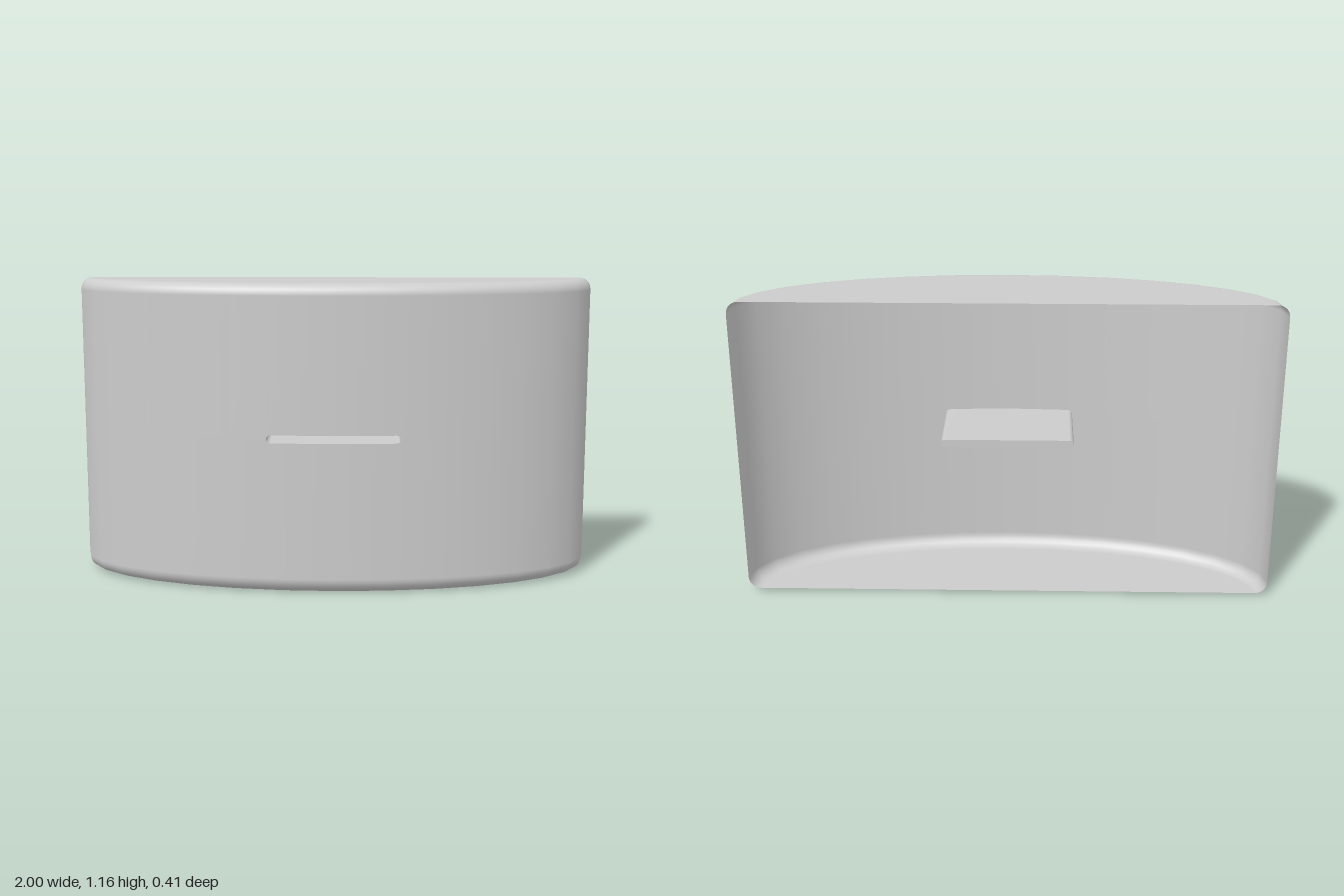
import * as THREE from 'three';
import { mergeGeometries } from 'three/addons/utils/BufferGeometryUtils.js';

const DEPTH = 0.41, BACK = -0.205, HEIGHT = 1.165, FILLET = 0.045;
const SLOT_Y = 0.59, SLOT_HALF = 0.25, SLOT_R = 0.015, SLOT_BACK = -0.12;
const SEGMENTS = 16, FILLET_STEPS = 6;

// Half-ellipse plan, faceted into equal angles
const plan = Array.from({ length: SEGMENTS + 1 }, (_, i) => {
  const t = Math.PI * (1 - i / SEGMENTS);
  return [Math.cos(t), BACK + DEPTH * Math.sin(t)];
});

function wallZ(x) {
  for (let i = 0; i < SEGMENTS; i++) {
    const [x0, z0] = plan[i], [x1, z1] = plan[i + 1];
    if (x <= x1) return z0 + (z1 - z0) * Math.max(0, (x - x0) / (x1 - x0));
  }
  return BACK;
}

// Half height of the round-ended slot at x
function slotHalfHeight(x) {
  const over = Math.max(0, Math.abs(x) - (SLOT_HALF - SLOT_R));
  return over >= SLOT_R - 1e-6 ? 0 : Math.sqrt(SLOT_R ** 2 - over ** 2);
}

// Surface from rows of points; normals are given or computed
function grid(rows, normals) {
  const n = rows[0].length, index = [];
  for (let r = 0; r < rows.length - 1; r++)
    for (let c = 0; c < n - 1; c++) {
      const a = r * n + c, d = a + n;
      index.push(a, a + 1, d + 1, a, d + 1, d);
    }
  const g = new THREE.BufferGeometry();
  g.setAttribute('position', new THREE.Float32BufferAttribute(rows.flat(2), 3));
  g.setIndex(index);
  if (normals) g.setAttribute('normal', new THREE.Float32BufferAttribute(normals.flat(2), 3));
  else g.computeVertexNormals();
  return g;
}

export function createModel() {
  const group = new THREE.Group();
  const material = new THREE.MeshStandardMaterial({ color: 0xcccccc, side: THREE.DoubleSide });
  const add = (name, parts) => {
    const mesh = new THREE.Mesh(mergeGeometries(parts), material);
    mesh.name = name;
    group.add(mesh);
  };

  // Columns: plan corners plus extra ones around the slot ends
  const slotXs = [0, 0.3, 0.7, 0.9, 1].map(k => SLOT_HALF - SLOT_R + SLOT_R * k);
  const xs = [...plan.map(p => p[0]), ...slotXs, ...slotXs.map(x => -x)].sort((a, b) => a - b);
  const columns = xs.map(x => {
    const n = new THREE.Vector2(x, Math.sqrt(Math.max(0, 1 - x * x)) / DEPTH).normalize();
    return { x, z: wallZ(x), nx: n.x, nz: n.y, h: slotHalfHeight(x) };
  });

  // The floor dips slightly towards the front
  const floorY = z => 0.01 * Math.max(0, 1 - (z - BACK) / (DEPTH - FILLET));

  // One half of the shell, listed from the slot line out to the open back
  function shellHalf(side) {
    const rows = [columns.map(c => [c.x, SLOT_Y + side * c.h, c.z])];
    const normals = [columns.map(c => [c.nx, 0, c.nz])];
    for (let i = 0; i <= FILLET_STEPS; i++) {
      const a = (i / FILLET_STEPS) * Math.PI / 2, inset = FILLET * (1 - Math.cos(a));
      rows.push(columns.map(c => {
        const z = c.z - c.nz * inset;
        const start = side > 0 ? HEIGHT - FILLET : 0.055;
        const end = side > 0 ? HEIGHT : floorY(c.z - c.nz * FILLET);
        return [c.x - c.nx * inset, start + (end - start) * Math.sin(a), z];
      }));
      normals.push(columns.map(c => [c.nx * Math.cos(a), side * Math.sin(a), c.nz * Math.cos(a)]));
    }
    // flat cap back to the opening
    const rim = rows[rows.length - 1], up = columns.map(() => [0, side, 0]);
    rows.push(rim, rim.map(p => [p[0], side > 0 ? HEIGHT : floorY(BACK), BACK]));
    normals.push(up, up);
    return side > 0 ? grid(rows, normals) : grid(rows.reverse(), normals.reverse());
  }
  add('curvedShell', [shellHalf(-1), shellHalf(1)]);

  // Closed pocket behind the slot
  const inner = columns.filter(c => Math.abs(c.x) <= SLOT_HALF + 1e-6);
  const front = side => inner.map(c => [c.x, SLOT_Y + side * c.h, c.z]);
  const rear = side => inner.map(c => [c.x, SLOT_Y + side * c.h, SLOT_BACK]);
  add('slotPocket', [
    grid([rear(1), front(1)].reverse()),
    grid([rear(1), rear(-1)]),
    grid([rear(-1), front(-1)]),
  ]);

  return group;
}
